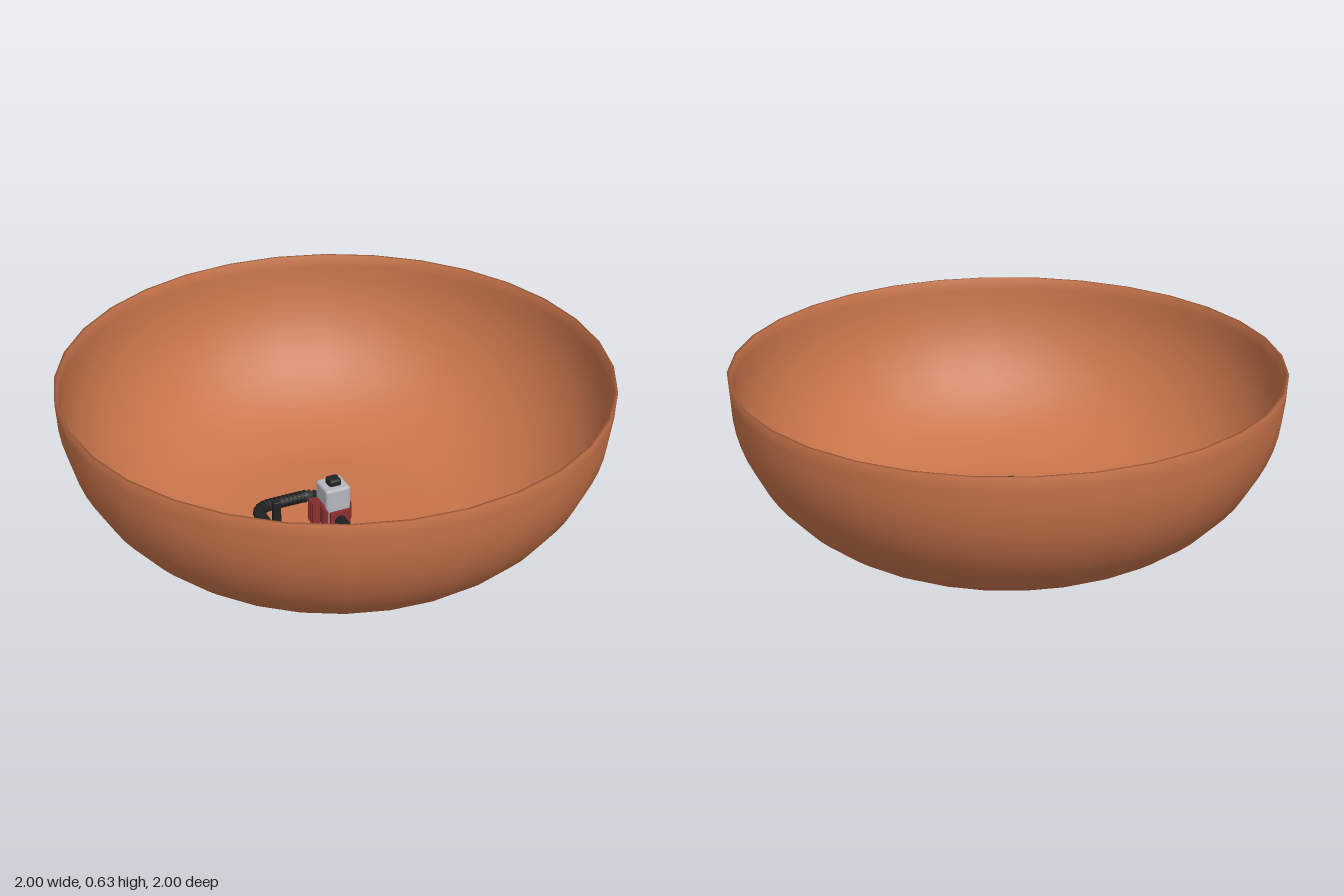
import * as THREE from 'three';
import { RoundedBoxGeometry } from 'three/addons/geometries/RoundedBoxGeometry.js';

const mat = (color, side = THREE.FrontSide) => new THREE.MeshStandardMaterial({ color, side });
const clay = mat(0xc8744a, THREE.DoubleSide);
const black = mat(0x222222);
const red = mat(0x8c2f2f);
const grey = mat(0xb4b6bd);

export function createModel() {
  const model = new THREE.Group();
  const add = (parent, name, geometry, material, x = 0, y = 0, z = 0) => {
    const mesh = new THREE.Mesh(geometry, material);
    mesh.name = name;
    mesh.position.set(x, y, z);
    parent.add(mesh);
    return mesh;
  };

  // Bowl: flat foot, quarter-round wall, short upright rim, thin inner skin
  const wall = (inset, floor) => {
    const points = [new THREE.Vector2(0, floor)];
    for (let i = 0; i <= 16; i++) {
      const a = (i / 16) * Math.PI / 2;
      points.push(new THREE.Vector2(
        0.39 + (0.607 - inset) * Math.sin(a),
        0.59 - (0.59 - floor) * Math.cos(a)));
    }
    points.push(new THREE.Vector2(1 - inset, 0.635));
    return points;
  };
  const profile = [...wall(0, 0.003), ...wall(0.012, 0.008).reverse()];
  add(model, 'bowl', new THREE.LatheGeometry(profile, 32), clay);

  // Ribbed hose: a rounded loop leaving and re-entering the centre unit
  const hose = new THREE.Group();
  hose.name = 'hose';
  model.add(hose);
  const P = (x, z) => new THREE.Vector3(x, 0.035, z);
  const path = new THREE.CurvePath();
  path.add(new THREE.LineCurve3(P(-0.005, -0.05), P(-0.005, -0.09)));
  path.add(new THREE.QuadraticBezierCurve3(P(-0.005, -0.09), P(-0.005, -0.16), P(-0.07, -0.16)));
  path.add(new THREE.LineCurve3(P(-0.07, -0.16), P(-0.19, -0.16)));
  path.add(new THREE.QuadraticBezierCurve3(P(-0.19, -0.16), P(-0.262, -0.16), P(-0.262, -0.09)));
  path.add(new THREE.LineCurve3(P(-0.262, -0.09), P(-0.262, 0.085)));
  path.add(new THREE.QuadraticBezierCurve3(P(-0.262, 0.085), P(-0.262, 0.155), P(-0.19, 0.155)));
  path.add(new THREE.LineCurve3(P(-0.19, 0.155), P(-0.07, 0.155)));
  path.add(new THREE.QuadraticBezierCurve3(P(-0.07, 0.155), P(-0.005, 0.155), P(-0.005, 0.085)));
  path.add(new THREE.LineCurve3(P(-0.005, 0.085), P(-0.005, 0.05)));
  add(hose, 'hoseCore', new THREE.TubeGeometry(path, 100, 0.019, 8, false), black);
  const rib = new THREE.CylinderGeometry(0.024, 0.024, 0.01, 10);
  const up = new THREE.Vector3(0, 1, 0);
  for (let i = 0; i <= 56; i++) {
    const t = i / 56;
    const p = path.getPointAt(t);
    const mesh = add(hose, 'hoseRib', rib, black, p.x, p.y, p.z);
    mesh.quaternion.setFromUnitVectors(up, path.getTangentAt(t));
  }

  // Centre unit: red base, grey housing, black cap and end collars
  const unit = new THREE.Group();
  unit.name = 'centreUnit';
  unit.position.set(-0.004, 0, -0.01);
  model.add(unit);
  add(unit, 'base', new RoundedBoxGeometry(0.122, 0.1, 0.1, 3, 0.025), red, 0, 0.052, 0);
  add(unit, 'housing', new RoundedBoxGeometry(0.1, 0.15, 0.1, 3, 0.012), grey, 0, 0.09, 0);
  add(unit, 'cap', new RoundedBoxGeometry(0.05, 0.035, 0.05, 3, 0.012), black, 0, 0.172, 0);
  for (const s of [-1, 1]) {
    add(unit, 'collar', new THREE.BoxGeometry(0.08, 0.07, 0.012), red, 0, 0.04, s * 0.058);
    add(unit, 'foot', new THREE.BoxGeometry(0.1, 0.012, 0.006), black, 0, 0.006, s * 0.03);
  }

  // Red prongs beside the unit
  for (let i = -1; i <= 1; i++) {
    add(model, 'prong', new THREE.BoxGeometry(0.03, 0.1, 0.007), red, -0.078, 0.052, -0.02 + i * 0.018);
  }

  // Small post inside the hose loop
  add(model, 'post', new RoundedBoxGeometry(0.03, 0.11, 0.026, 2, 0.005), black, -0.212, 0.055, -0.063);
  return model;
}
